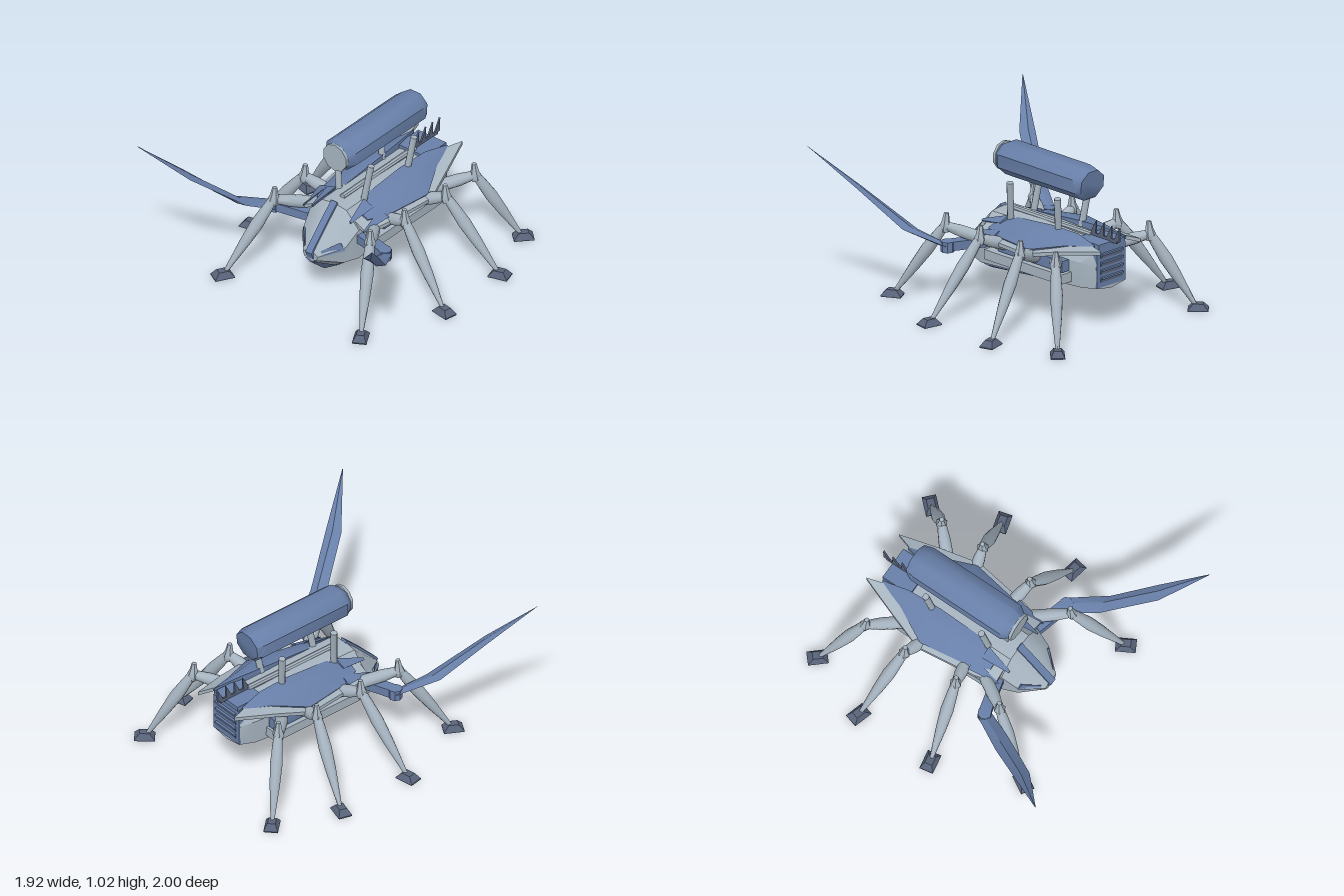
import * as THREE from 'three';
import { toCreasedNormals } from 'three/addons/utils/BufferGeometryUtils.js';

const material = (name, color) => {
  const m = new THREE.MeshStandardMaterial({ color });
  m.name = name;
  return m;
};
const V = (x, y, z) => new THREE.Vector3(x, y, z);

export function createModel() {
  const model = new THREE.Group();
  model.name = 'walker';
  const grey = material('steel grey', 0xa6b4c0);
  const blue = material('slate blue', 0x687fa8);
  const dark = material('dark slate', 0x58637a);

  function add(name, geometry, mat, parent = model) {
    const mesh = new THREE.Mesh(geometry, mat);
    mesh.name = name;
    parent.add(mesh);
    return mesh;
  }

  // Skin a row of equal-length rings, cap both ends and face outwards
  function loft(rings, crease = 0.5) {
    const tris = [], n = rings[0].length;
    for (let i = 0; i < rings.length - 1; i++) {
      for (let j = 0; j < n; j++) {
        const k = (j + 1) % n, a = rings[i], b = rings[i + 1];
        tris.push([a[j], a[k], b[k]], [a[j], b[k], b[j]]);
      }
    }
    const last = rings[rings.length - 1];
    for (let j = 1; j < n - 1; j++) {
      tris.push([rings[0][0], rings[0][j + 1], rings[0][j]], [last[0], last[j], last[j + 1]]);
    }
    let volume = 0;
    for (const [a, b, c] of tris) volume += a.dot(b.clone().cross(c));
    if (volume < 0) tris.forEach((t) => t.reverse());
    const g = new THREE.BufferGeometry().setFromPoints(tris.flat());
    return toCreasedNormals(g, crease);
  }

  // Turned limb from a to b; profile holds [fraction, radius] pairs
  function limb(name, a, b, profile, mat, parent, sides = 10) {
    const length = a.distanceTo(b);
    const pts = profile.map(([t, r]) => new THREE.Vector2(r, t * length));
    pts.unshift(new THREE.Vector2(0, pts[0].y));
    pts.push(new THREE.Vector2(0, pts[pts.length - 1].y));
    const g = toCreasedNormals(new THREE.LatheGeometry(pts, sides), 0.7);
    const mesh = add(name, g, mat, parent);
    mesh.position.copy(a);
    mesh.quaternion.setFromUnitVectors(V(0, 1, 0), b.clone().sub(a).normalize());
    return mesh;
  }

  function box(name, w, h, d, x, y, z, mat, parent) {
    const mesh = add(name, new THREE.BoxGeometry(w, h, d), mat, parent);
    mesh.position.set(x, y, z);
    return mesh;
  }

  // Hull stations: z, keel y, chine x/y, side x/y, shoulder x/y, top y, belly plate share
  const stations = [
    [0.44, 0.26, 0.05, 0.28, 0.06, 0.31, 0.03, 0.33, 0.335, 0.8],
    [0.3, 0.14, 0.16, 0.24, 0.175, 0.36, 0.09, 0.46, 0.48, 0.7],
    [0.2, 0.15, 0.2, 0.24, 0.2, 0.45, 0.1, 0.56, 0.575, 0.75],
    [-0.2, 0.195, 0.21, 0.27, 0.22, 0.45, 0.1, 0.57, 0.585, 0.78],
    [-0.67, 0.245, 0.16, 0.28, 0.17, 0.45, 0.1, 0.55, 0.56, 0.5],
    [-0.77, 0.265, 0.12, 0.285, 0.13, 0.43, 0.1, 0.54, 0.55, 0],
  ];
  add('hull', loft(stations.map(([z, k, cx, cy, sx, sy, hx, hy, t]) => [
    V(0, k, z), V(cx, cy, z), V(sx, sy, z), V(hx, hy, z), V(0, t, z),
    V(-hx, hy, z), V(-sx, sy, z), V(-cx, cy, z),
  ]), 0.6), grey);

  // Blue keel plate laid over the belly
  add('bellyPlate', loft(stations.slice(0, 5).map(([z, k, cx, cy, , , , , , share]) => {
    const x = cx * share, y = k + (cy - k) * share - 0.008;
    return [V(-x, y, z), V(0, k - 0.009, z), V(x, y, z), V(0, k + 0.02, z)];
  }), 0.6), blue);

  // Strip running down the nose
  add('noseStrip', loft([[0.2, 0.59], [0.32, 0.475], [0.46, 0.33]].map(([z, y]) => [
    V(-0.025, y, z), V(0.025, y, z), V(0.025, y - 0.05, z - 0.02), V(-0.025, y - 0.05, z - 0.02),
  ])), blue);

  // Louvred rear housing
  box('rearHousing', 0.25, 0.26, 0.16, 0, 0.42, -0.695, blue);
  box('rearDeck', 0.23, 0.03, 0.21, 0, 0.565, -0.675, blue);
  for (let i = 0; i < 4; i++) {
    box('ventSlot', 0.19, 0.022, 0.006, 0, 0.335 + i * 0.053, -0.776, dark);
    box('ventSlat', 0.19, 0.012, 0.02, 0, 0.352 + i * 0.053, -0.782, blue);
  }

  // Dorsal rail, then a thin row of swept spikes
  limb('dorsalRail', V(0, 0.582, 0.12), V(0, 0.582, -0.6), [[0, 0.02], [1, 0.02]], grey, model, 8);
  box('spikeBase', 0.012, 0.025, 0.24, 0, 0.587, -0.71, dark);
  for (let i = 0; i < 4; i++) {
    const z = -0.59 - i * 0.07;
    const ring = (x) => [V(x, 0.59, z), V(x, 0.59, z - 0.05), V(x, 0.685, z - 0.052)];
    add('dorsalSpike', loft([ring(-0.006), ring(0.006)]), dark);
  }

  // Eight-sided cannon with a pale muzzle disc
  const octagon = (z, s, lean = 0) => Array.from({ length: 8 }, (_, i) => {
    const a = Math.PI * (i + 0.5) / 4;
    return V(Math.cos(a) * 0.128 * s, 0.917 + Math.sin(a) * 0.113 * s, z - lean * Math.sin(a));
  });
  add('cannon', loft([
    octagon(0.18, 0.72), octagon(0.13, 1), octagon(-0.555, 1, -0.025), octagon(-0.605, 0.85, 0.008),
  ], 0.84), blue);
  const muzzle = add('muzzle', new THREE.CylinderGeometry(0.097, 0.097, 0.02, 10), grey);
  muzzle.rotation.x = Math.PI / 2;
  muzzle.position.set(0, 0.915, 0.187);

  // Feet, knees and hips of the four legs on one side: x, z
  const legs = [
    { hip: [0.25, 0.11], knee: [0.395, 0.325], foot: [0.565, 0.625] },
    { hip: [0.22, -0.05], knee: [0.415, -0.005], foot: [0.79, 0.064] },
    { hip: [0.25, -0.34], knee: [0.435, -0.39], foot: [0.79, -0.49] },
    { hip: [0.24, -0.52], knee: [0.42, -0.7], foot: [0.625, -0.925] },
  ];

  for (const s of [1, -1]) {
    const side = new THREE.Group();
    side.name = s > 0 ? 'leftSide' : 'rightSide';
    model.add(side);
    const P = (x, y, z) => V(s * x, y, z);

    // Swelling wing case: z, inner x/y, crest x/y, outer x/y
    add('wingCase', loft([
      [0.12, 0.15, 0.52, 0.18, 0.51, 0.21, 0.495],
      [-0.02, 0.085, 0.57, 0.18, 0.555, 0.265, 0.485],
      [-0.35, 0.085, 0.598, 0.2, 0.595, 0.318, 0.495],
      [-0.58, 0.1, 0.605, 0.15, 0.6, 0.205, 0.55],
      [-0.76, 0.135, 0.58, 0.14, 0.58, 0.148, 0.572],
    ].map(([z, ix, iy, cx, cy, ox, oy]) => [
      P(ix, iy, z), P(cx, cy, z), P(ox, oy, z), P(ox - 0.01, oy - 0.02, z), P(ix, oy - 0.02, z),
    ]), 0.9), blue, side);

    // Pointed plate beneath the wing case
    add('wingPlate', loft([
      [0.19, 0.16, 0.25, 0.5, 0.455], [0.05, 0.12, 0.29, 0.525, 0.46], [-0.35, 0.1, 0.345, 0.535, 0.475],
      [-0.6, 0.1, 0.268, 0.578, 0.53], [-0.86, 0.177, 0.18, 0.575, 0.573],
    ].map(([z, ix, ox, iy, oy]) => [
      P(ix, iy, z), P(ox, oy, z), P(ox, oy - 0.025, z), P(ix, iy - 0.025, z),
    ])), grey, side);

    // Flat pointed prongs flanking the head
    add('headProng', loft([
      [P(0.21, 0.52, 0), P(0.285, 0.485, 0), P(0.24, 0.465, 0)],
      [P(0.245, 0.465, 0.21), P(0.25, 0.46, 0.21), P(0.245, 0.455, 0.21)],
    ]), blue, side);
    add('innerProng', loft([
      [P(0.11, 0.575, 0.04), P(0.19, 0.54, 0.04), P(0.14, 0.52, 0.04)],
      [P(0.15, 0.515, 0.23), P(0.165, 0.505, 0.23), P(0.155, 0.495, 0.23)],
    ]), blue, side);

    // Slanted eye panel
    add('eyePanel', loft([
      [P(0.065, 0.345, 0.415), P(0.08, 0.31, 0.415), P(0.07, 0.32, 0.38)],
      [P(0.15, 0.4, 0.325), P(0.175, 0.34, 0.305), P(0.14, 0.35, 0.28)],
    ]), blue, side);

    // Long sponson along the flank with blocks above
    box('sponson', 0.1, 0.065, 0.69, s * 0.22, 0.337, -0.245, grey, side);
    box('flankBlock', 0.06, 0.075, 0.58, s * 0.215, 0.415, -0.29, blue, side);

    // Cannon posts
    for (const z of [0, -0.43]) {
      limb('cannonPost', P(0.1, 0.54, z + 0.03), P(0.137, 0.81, z), [[0, 0.022], [1, 0.022]], grey, side);
    }

    // Arm and long curved blade
    add('bladeArm', loft([[0.15, 0.385, 0.16], [0.44, 0.405, 0.24]].map(([x, y, z]) => [
      P(x, y - 0.03, z - 0.04), P(x, y + 0.03, z - 0.04), P(x, y + 0.03, z + 0.04), P(x, y - 0.03, z + 0.04),
    ])), blue, side);
    limb('bladeHinge', P(0.45, 0.365, 0.245), P(0.45, 0.435, 0.245), [[0, 0.045], [1, 0.045]], blue, side, 8);
    add('blade', loft([
      [0.49, 0.41, 0.22, 0.41, 0.385, 0.27],
      [0.635, 0.5, 0.46, 0.505, 0.475, 0.46],
      [0.795, 0.755, 0.72, 0.71, 0.745, 0.775],
      [0.96, 1.01, 0.995, 0.957, 1.008, 0.997],
    ].map(([ox, oy, oz, ix, iy, iz], i) => {
      const t = [0.015, 0.014, 0.01, 0.001][i];
      const mx = (ox + ix) / 2, my = (oy + iy) / 2, mz = (oz + iz) / 2;
      return [P(ox, oy, oz), P(mx, my + t, mz - t), P(ix, iy, iz), P(mx, my - t, mz + t)];
    }), 0.4), blue, side);

    // Legs with capped knees and wedge feet
    for (const { hip, knee, foot } of legs) {
      const leg = new THREE.Group();
      leg.name = 'leg';
      side.add(leg);
      const h = P(hip[0], 0.43, hip[1]), k = P(knee[0], 0.505, knee[1]), f = P(foot[0], 0.035, foot[1]);
      const out = f.clone().sub(k).setY(0).normalize();
      const ankle = f.clone().addScaledVector(out, -0.02);
      limb('thigh', h, k, [[0, 0.042], [0.6, 0.04], [0.85, 0.032], [1, 0.028]], grey, leg);
      limb('kneeCap', k.clone().setY(0.465), k.clone().addScaledVector(out, -0.01).setY(0.59),
        [[0, 0.03], [0.3, 0.04], [0.55, 0.027], [1, 0.016]], grey, leg, 6);
      limb('shin', k, ankle, [[0, 0.028], [0.12, 0.034], [0.35, 0.042], [0.6, 0.034], [1, 0.013]], grey, leg);
      const sole = (y, l, w) => [[l, w], [l, -w], [-l, -w], [-l, w]].map(([a, b]) => V(a, y, b));
      const shoe = add('foot', loft([sole(0, 0.066, 0.046), sole(0.008, 0.066, 0.046), sole(0.045, 0.032, 0.025)], 0.1), dark, leg);
      shoe.position.set(f.x, 0, f.z);
      shoe.rotation.y = Math.atan2(-out.z, out.x);
    }
  }
  return model;
}
